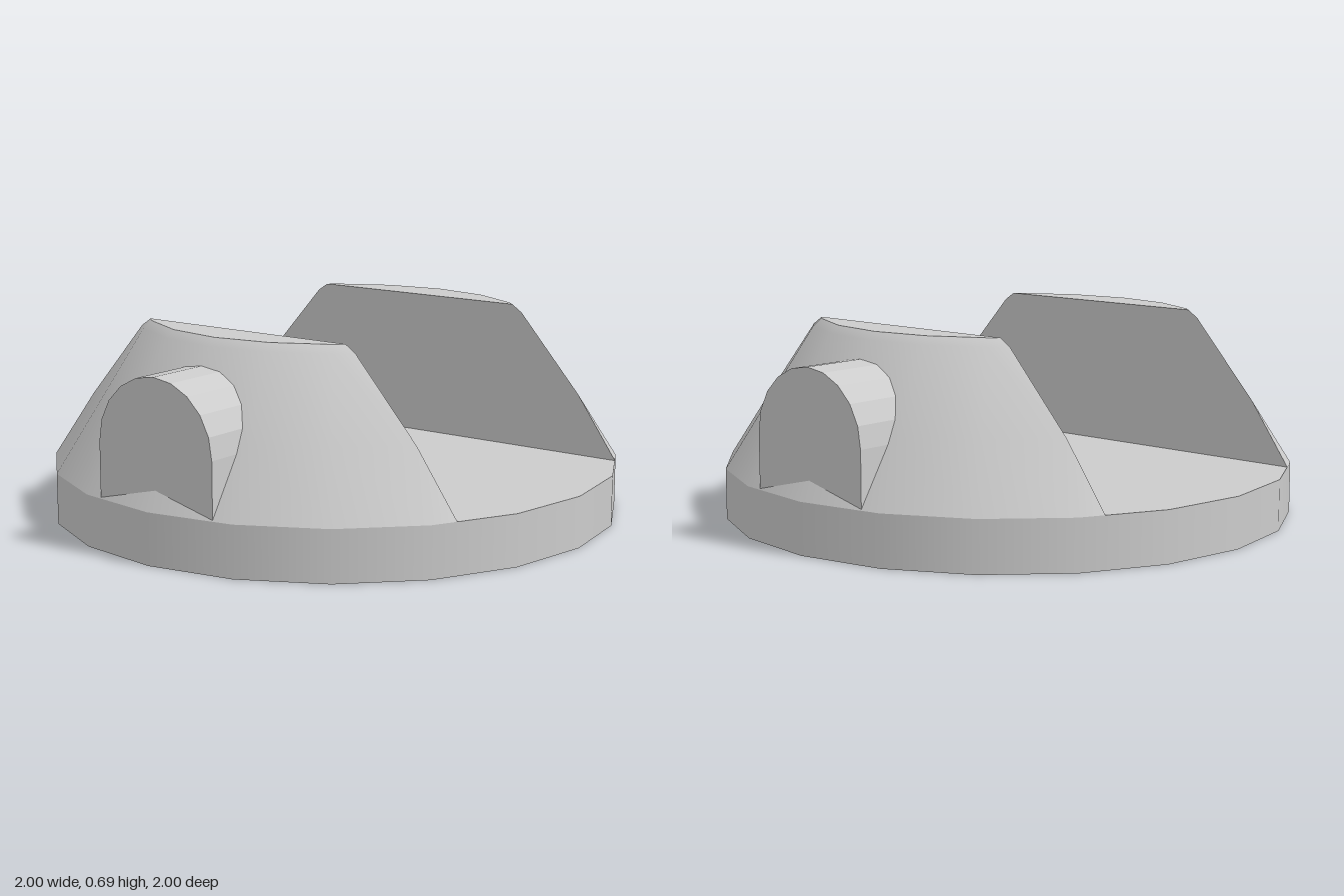
import * as THREE from 'three';
import { toCreasedNormals } from 'three/addons/utils/BufferGeometryUtils.js';

const SIDES = 20, STEP = (Math.PI * 2) / SIDES;
const BASE_TOP = 0.177, TOP = 0.693, CUT = 0.505;

// One layer of the cone: the 20-gon of radius r, clipped at x = CUT (9 points)
function clippedRing(r, y) {
  let j = 0;
  while (r * Math.cos((j + 1) * STEP) >= CUT - 1e-6) j++;
  const x0 = r * Math.cos(j * STEP), z0 = r * Math.sin(j * STEP);
  const x1 = r * Math.cos((j + 1) * STEP), z1 = r * Math.sin((j + 1) * STEP);
  const zCut = z0 + ((z1 - z0) * (x0 - CUT)) / (x0 - x1);
  const ring = [];
  for (let k = -4; k <= 4; k++) {
    if (Math.abs(k) <= j) ring.push(r * Math.cos(k * STEP), y, r * Math.sin(k * STEP));
    else ring.push(CUT, y, Math.sign(k) * zCut);
  }
  return ring;
}

// Sloped cheek: clipped cone layers, with a small bevel under the flat top
function cheekGeometry() {
  const rimR = 0.688, rimY = 0.667;
  const kinkR = CUT / Math.cos(3 * STEP);
  const kinkY = BASE_TOP + ((1 - kinkR) / (1 - rimR)) * (rimY - BASE_TOP);
  const layers = [[1, BASE_TOP], [kinkR, kinkY], [rimR, rimY], [0.66, TOP]];
  const n = 9, positions = [], index = [];
  layers.forEach(([r, y]) => positions.push(...clippedRing(r, y)));
  for (let i = 0; i < layers.length - 1; i++) {
    for (let k = 0; k < n; k++) {
      const m = (k + 1) % n;
      const a = i * n + k, b = a + n, c = (i + 1) * n + m, d = i * n + m;
      index.push(a, b, c, a, c, d);
    }
  }
  const t = (layers.length - 1) * n;
  for (let k = 1; k < n - 1; k++) index.push(t, t + k + 1, t + k);
  const g = new THREE.BufferGeometry();
  g.setAttribute('position', new THREE.Float32BufferAttribute(positions, 3));
  g.setIndex(index);
  return toCreasedNormals(g, 0.45);
}

// Round-topped boss sticking out of the cheek along x
function bossGeometry() {
  const r = 0.238, cy = 0.37, inner = 0.58, outer = 0.96;
  const shape = new THREE.Shape();
  shape.moveTo(-r, BASE_TOP);
  shape.lineTo(r, BASE_TOP);
  for (let k = 0; k <= 10; k++) {
    shape.lineTo(r * Math.cos(k * STEP), cy + r * Math.sin(k * STEP));
  }
  shape.closePath();
  const g = new THREE.ExtrudeGeometry(shape, { depth: outer - inner, bevelEnabled: false });
  return g.rotateY(Math.PI / 2).translate(inner, 0, 0);
}

export function createModel() {
  const model = new THREE.Group();
  model.name = 'slottedMount';
  const smooth = new THREE.MeshStandardMaterial({ color: 0xcccccc });
  const faceted = new THREE.MeshStandardMaterial({ color: 0xcccccc, flatShading: true });

  const add = (parent, name, geometry, material) => {
    const mesh = new THREE.Mesh(geometry, material);
    mesh.name = name;
    parent.add(mesh);
    return mesh;
  };

  // Base disc
  add(model, 'baseDisc', new THREE.CylinderGeometry(1, 1, BASE_TOP, SIDES), smooth)
    .position.y = BASE_TOP / 2;

  // Two opposite cheeks, each with its boss
  const cheek = cheekGeometry(), boss = bossGeometry();
  for (const [name, turn] of [['leftSide', 0], ['rightSide', Math.PI]]) {
    const side = new THREE.Group();
    side.name = name;
    side.rotation.y = turn;
    add(side, 'cheek', cheek, smooth);
    add(side, 'boss', boss, faceted);
    model.add(side);
  }
  return model;
}
